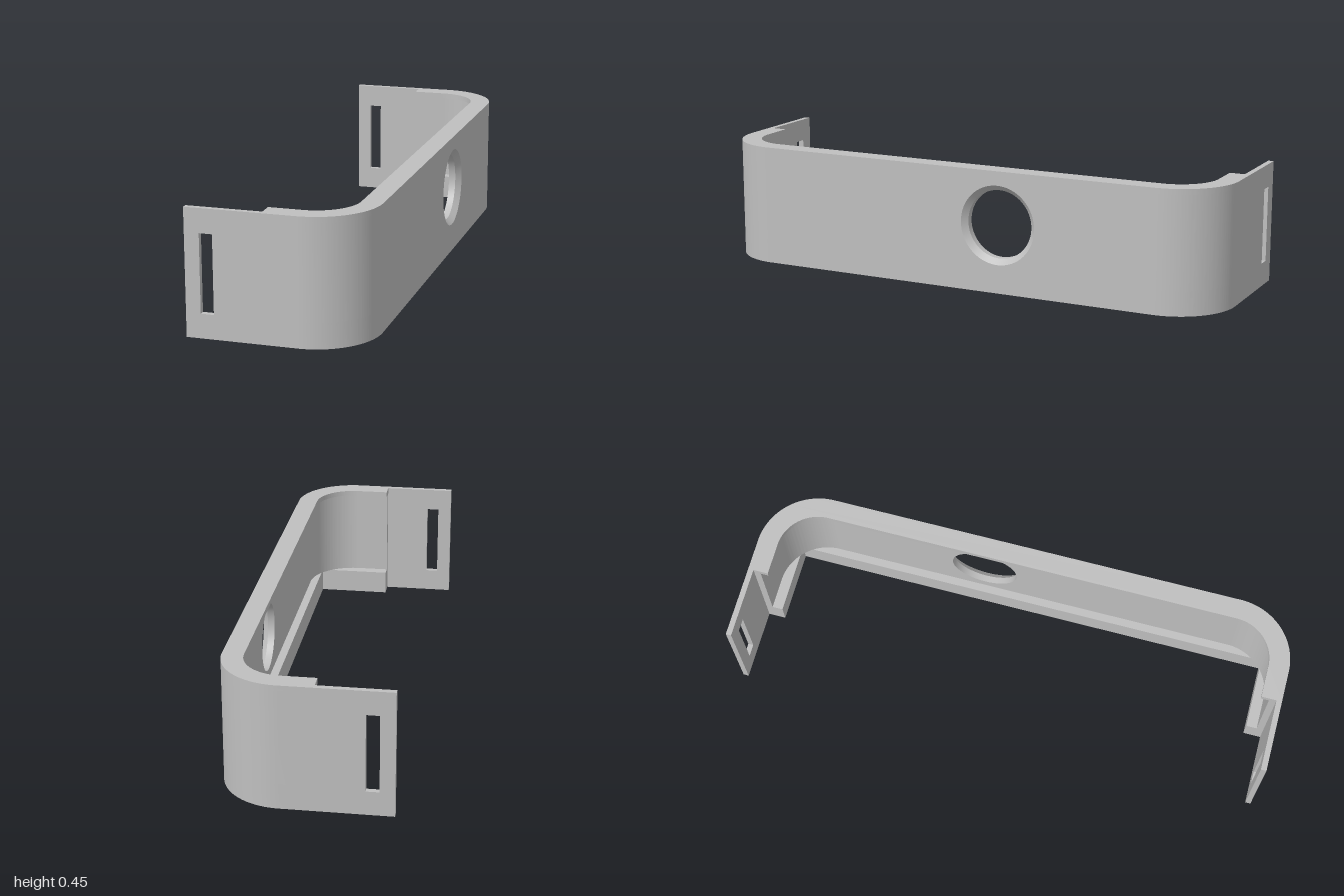
import * as THREE from 'three';
import { toCreasedNormals } from 'three/addons/utils/BufferGeometryUtils.js';

const XMIN = -0.305, XMAX = 0.305, XEND = -0.04; // tab tip, outer wall, end of thick band
const CX = 0.08, CZ = 0.775, R = 0.225;          // corner centre and outer radius
const H = 0.447, LEDGE = 0.09, LIP = 0.427;      // full height, ledge top, lip underside
const WALL = 0.045, RIM = 0.075, TAB = 0.02;     // thicknesses
const HOLE = { z: -0.185, y: 0.25, r: 0.125, R: 0.145, bevel: 0.02 };

export function createModel() {
  const group = new THREE.Group();
  const gray = new THREE.MeshStandardMaterial({ color: 0xbfbfbf });
  gray.name = 'plain gray';

  const add = (name, geometry) => {
    const mesh = new THREE.Mesh(geometry, gray);
    mesh.name = name;
    group.add(mesh);
    return mesh;
  };
  const extrude = (shape, depth) => toCreasedNormals(
    new THREE.ExtrudeGeometry(shape, { depth, bevelEnabled: false, curveSegments: 32 }), 0.5);
  // Plan outline (x, -z) raised from y0 to y1
  const plan = (shape, y0, y1) => extrude(shape, y1 - y0).rotateX(-Math.PI / 2).translate(0, y0, 0);
  const rect = (Type, x0, y0, x1, y1) => {
    const p = new Type();
    p.moveTo(x0, y0).lineTo(x1, y0).lineTo(x1, y1).lineTo(x0, y1).closePath();
    return p;
  };
  const outerEdge = (shape) => shape.moveTo(XEND, -1).lineTo(CX, -1)
    .absarc(CX, -CZ, R, -Math.PI / 2, 0, false).lineTo(XMAX, CZ)
    .absarc(CX, CZ, R, 0, Math.PI / 2, false).lineTo(XEND, 1);

  // Bottom ledge: rounded outside, square inside
  const ledge = outerEdge(new THREE.Shape());
  ledge.lineTo(XEND, 0.915).lineTo(0.23, 0.915).lineTo(0.23, -0.915).lineTo(XEND, -0.915).closePath();
  add('bottomLedge', plan(ledge, 0, LEDGE));

  // Top lip: even thickness all round
  const ri = R - RIM;
  const lip = outerEdge(new THREE.Shape());
  lip.lineTo(XEND, CZ + ri).lineTo(CX, CZ + ri)
    .absarc(CX, CZ, ri, Math.PI / 2, 0, true).lineTo(CX + ri, -CZ)
    .absarc(CX, -CZ, ri, 0, -Math.PI / 2, true).lineTo(XEND, -CZ - ri).closePath();
  add('topLip', plan(lip, LIP, H));

  // Mirrored end pieces: recessed curved wall and slotted tab
  for (const s of [1, -1]) {
    const side = s > 0 ? 'left' : 'right';
    const rw = R - WALL;
    const bend = new THREE.Shape();
    bend.moveTo(XEND, s).lineTo(CX, s)
      .absarc(CX, s * CZ, R, s * Math.PI / 2, 0, s > 0).lineTo(CX + rw, s * CZ)
      .absarc(CX, s * CZ, rw, 0, s * Math.PI / 2, s < 0).lineTo(XEND, s * (CZ + rw)).closePath();
    add(side + 'CornerWall', plan(bend, LEDGE, LIP));

    const tab = rect(THREE.Shape, XMIN, 0, XEND, H);
    tab.holes.push(rect(THREE.Path, -0.253, 0.086, -0.207, 0.362));
    add(side + 'SlottedTab', extrude(tab, TAB)).position.z = s > 0 ? 1 - TAB : -1;
  }

  // Long wall in two layers, so that the hole can be countersunk outside
  const panel = (name, radius, x0, x1) => {
    const shape = rect(THREE.Shape, -CZ, LEDGE, CZ, LIP);
    const hole = new THREE.Path();
    hole.absarc(-HOLE.z, HOLE.y, radius, 0, Math.PI * 2, true);
    shape.holes.push(hole);
    add(name, extrude(shape, x1 - x0).rotateY(Math.PI / 2).translate(x0, 0, 0));
  };
  panel('longWallInner', HOLE.r, XMAX - WALL, XMAX - HOLE.bevel);
  panel('longWallOuter', HOLE.R, XMAX - HOLE.bevel, XMAX);

  // Countersink cone, facing the hole's axis
  const cone = new THREE.LatheGeometry(
    [new THREE.Vector2(HOLE.R, HOLE.bevel), new THREE.Vector2(HOLE.r, 0)], 64);
  cone.rotateZ(-Math.PI / 2).translate(XMAX - HOLE.bevel, HOLE.y, HOLE.z);
  add('holeBevel', cone);

  return group;
}
